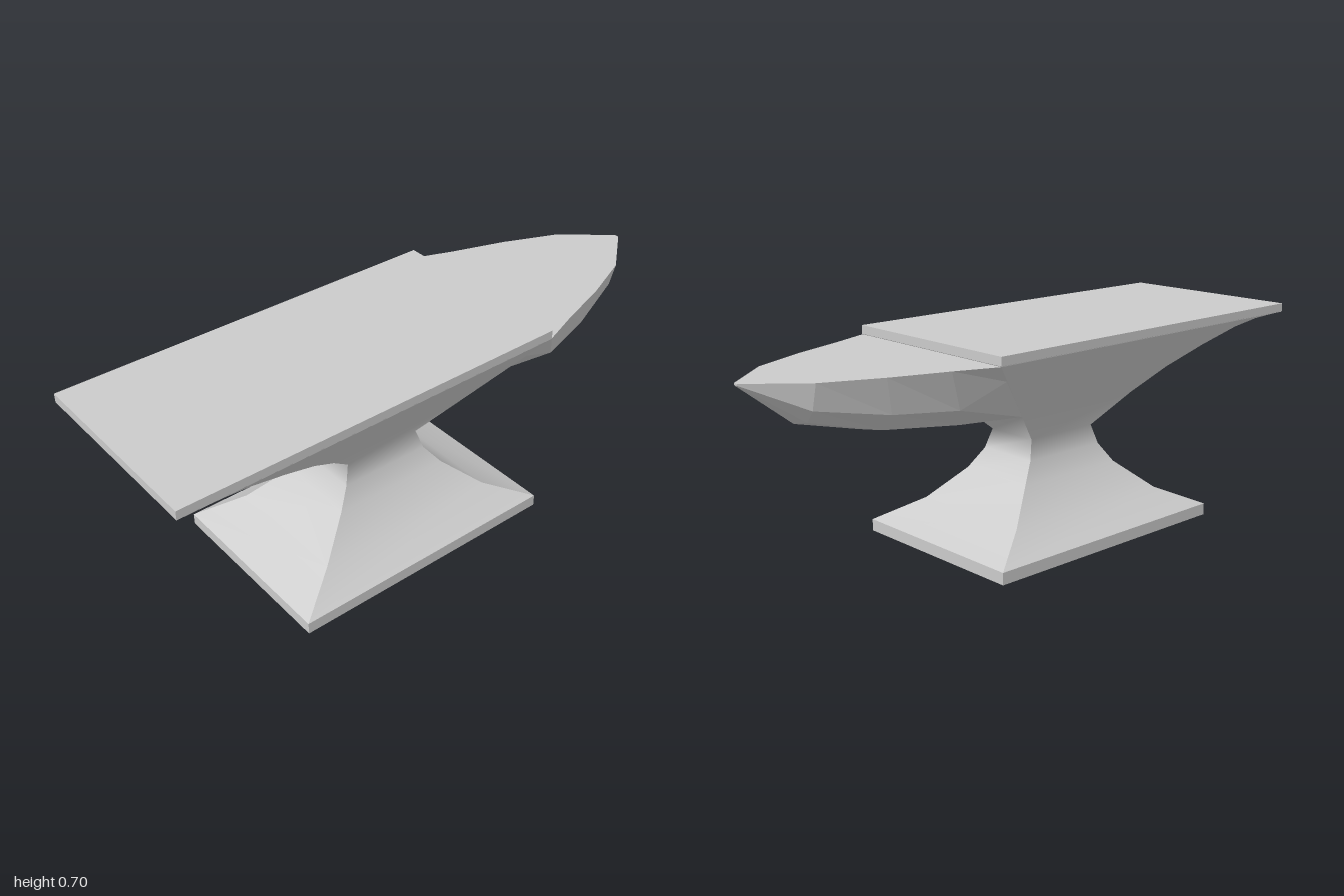
import * as THREE from 'three';

const material = new THREE.MeshStandardMaterial({ color: 0xcccccc });
const hornMaterial = new THREE.MeshStandardMaterial({ color: 0xcccccc, flatShading: true });

function geometry(positions, index) {
  const g = new THREE.BufferGeometry();
  g.setAttribute('position', new THREE.Float32BufferAttribute(positions, 3));
  g.setIndex(index);
  g.computeVertexNormals();
  return g;
}

// Four-sided loft through rows [y, left x, right x, half depth]:
// smooth up each side, sharp at the corners
function rectLoft(rows) {
  const positions = [], index = [];
  for (let side = 0; side < 4; side++) {
    const start = positions.length / 3;
    rows.forEach(([y, x0, x1, z], i) => {
      const corners = [[x0, z], [x1, z], [x1, -z], [x0, -z]];
      for (const [cx, cz] of [corners[side], corners[(side + 1) % 4]]) positions.push(cx, y, cz);
      if (i > 0) {
        const a = start + 2 * (i - 1);
        index.push(a, a + 1, a + 3, a, a + 3, a + 2);
      }
    });
  }
  return geometry(positions, index);
}

// Horn loft: each section lists half a ring as [x, y, z], from rim to keel
function hornLoft(sections) {
  const positions = [], index = [], n = 7;
  sections.forEach((half, s) => {
    const mirrored = half.slice(0, 3).reverse().map(([x, y, z]) => [x, y, -z]);
    for (const p of [...half, ...mirrored]) positions.push(...p);
    if (s === 0) return;
    for (let j = 0; j < n; j++) {
      const a = (s - 1) * n + j, b = (s - 1) * n + (j + 1) % n;
      index.push(a, b, b + n, a, b + n, a + n);
    }
  });
  const last = (sections.length - 1) * n;
  for (let j = 1; j < n - 1; j++) index.push(last, last + j, last + j + 1);
  return geometry(positions, index).toNonIndexed();
}

export function createModel() {
  const group = new THREE.Group();
  const add = (name, geo, mat = material) => {
    const mesh = new THREE.Mesh(geo, mat);
    mesh.name = name;
    group.add(mesh);
    return mesh;
  };

  // Plinth under the foot and flat face on top
  add('plinth', new THREE.BoxGeometry(0.945, 0.04, 0.65)).position.set(-0.1425, 0.02, 0);
  add('face', new THREE.BoxGeometry(1.342, 0.03, 0.666)).position.set(-0.329, 0.685, 0);

  // Flared foot, waist, and upper body with the curved heel
  const foot = [
    [0.04, -0.615, 0.33, 0.325],
    [0.11, -0.465, 0.18, 0.222],
    [0.21, -0.345, 0.065, 0.14],
    [0.275, -0.3, 0.015, 0.11],
    [0.34, -0.28, -0.005, 0.094],
  ];
  const heel = [[0.45, -0.39], [0.53, -0.5], [0.594, -0.63], [0.645, -0.76], [0.664, -0.855], [0.672, -1]];
  const upper = heel.map(([y, x]) => [y, x, -0.005 + (y - 0.34) * 1.05, 0.094 + (y - 0.34) * 0.721]);
  add('body', rectLoft([...foot, ...upper]));

  // Faceted horn growing out of the sloping front of the body
  add('horn', hornLoft([
    [[0.342, 0.67, 0.332], [0.28, 0.61, 0.288], [0.112, 0.452, 0.174], [0.112, 0.457, 0]],
    [[0.48, 0.67, 0.28], [0.43, 0.543, 0.254], [0.34, 0.462, 0.143], [0.34, 0.446, 0]],
    [[0.66, 0.67, 0.22], [0.63, 0.555, 0.198], [0.6, 0.488, 0.11], [0.6, 0.469, 0]],
    [[0.84, 0.67, 0.143], [0.84, 0.588, 0.122], [0.825, 0.543, 0.07], [0.825, 0.526, 0]],
    [[1, 0.67, 0.008], [1, 0.665, 0.007], [0.998, 0.662, 0.004], [0.998, 0.661, 0]],
  ]), hornMaterial);

  return group;
}
